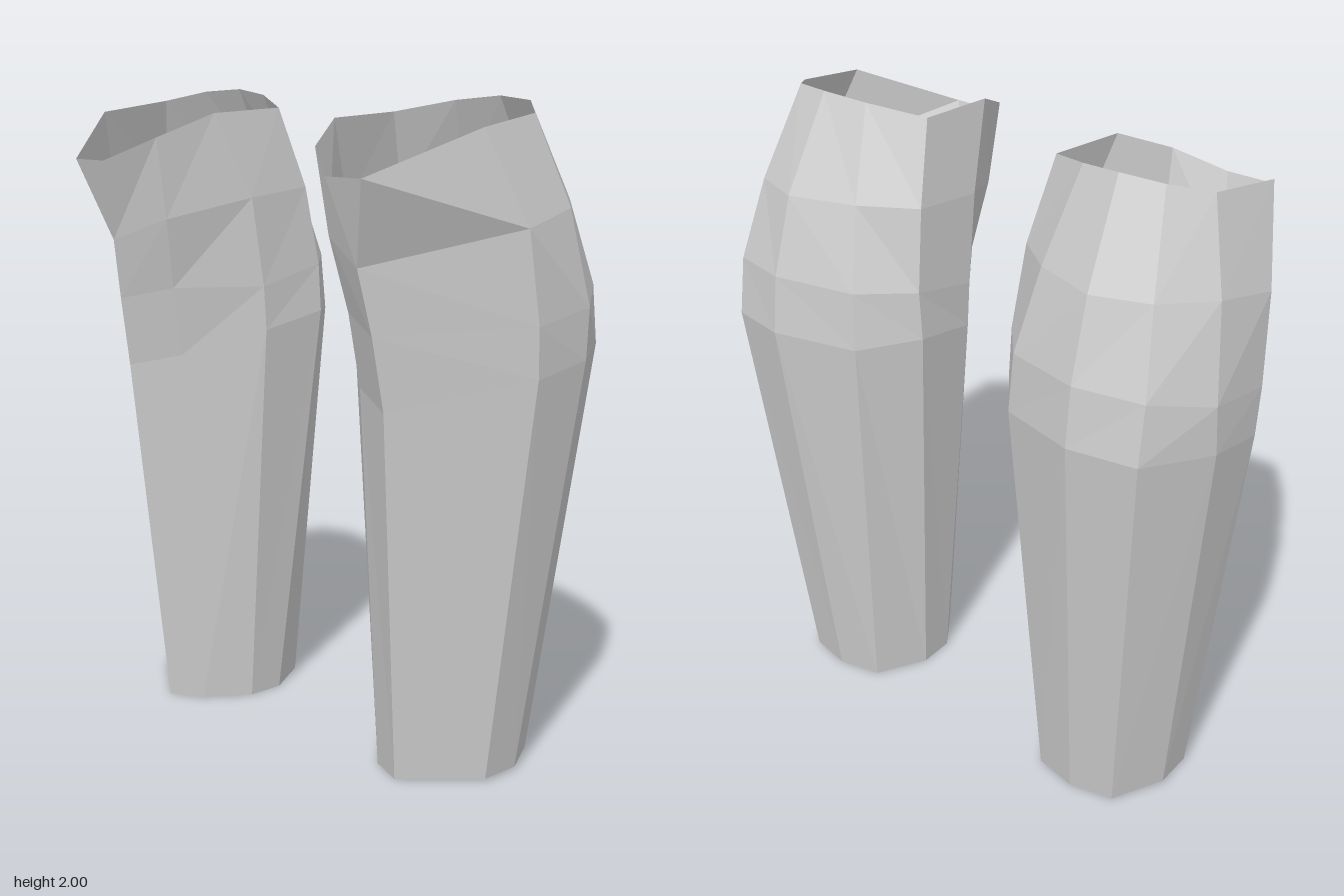
import * as THREE from 'three';

// Cross-sections [x, y, z] of the left sleeve, bottom to top.
// Each runs from the front ridge over the inner side and the back to the outer side.
const ankle = [[.5, 0, .18], [.39, 0, .13], [.29, 0, 0], [.28, 0, -.12], [.36, 0, -.28],
  [.5, 0, -.31], [.64, 0, -.28], [.72, .01, -.12], [.71, .01, .01]];
const calf = [[.54, 1.14, .29], [.38, 1.18, .21], [.19, 1.26, .02], [.17, 1.3, -.21], [.3, 1.28, -.37],
  [.565, 1.29, -.45], [.77, 1.28, -.4], [.88, 1.27, -.19], [.87, 1.24, .02]];
const upperCalf = [[.53, 1.36, .33], [.37, 1.4, .25], [.19, 1.4, .03], [.18, 1.45, -.21], [.31, 1.46, -.36],
  [.565, 1.47, -.43], [.77, 1.46, -.375], [.88, 1.42, -.2], [.875, 1.39, .03]];
const knee = [[.51, 1.55, .37], [.34, 1.62, .3], [.2, 1.68, .07], [.2, 1.7, -.17], [.35, 1.71, -.29],
  [.56, 1.71, -.36], [.73, 1.71, -.3], [.84, 1.7, -.15], [.86, 1.66, .065]];
// The rim splits the front ridge into two corners.
const rim = [[.46, 1.8, .445], [.33, 1.87, .345], [.25, 1.94, .18], [.24, 1.95, -.09], [.4, 1.985, -.18],
  [.54, 2, -.21], [.67, 1.99, -.18], [.76, 1.96, -.08], [.78, 1.93, .17], [.59, 1.8, .445]];

function sleeveGeometry(side) {
  const rings = [ankle, calf, upperCalf, knee].map(r => [...r, r[0]]);
  rings.push(rim);
  const positions = [];
  const triangle = (a, b, c) => {
    const corners = side > 0 ? [a, b, c] : [a, c, b];
    for (const [x, y, z] of corners) positions.push(side * x, y, z);
  };
  // Walls between neighbouring cross-sections
  for (let r = 0; r < rings.length - 1; r++) {
    const low = rings[r], high = rings[r + 1];
    for (let c = 0; c < low.length - 1; c++) {
      triangle(low[c], high[c], high[c + 1]);
      triangle(low[c], high[c + 1], low[c + 1]);
    }
  }
  // Notch wedge where the front ridge splits
  triangle(knee[0], rim[9], rim[0]);

  const geometry = new THREE.BufferGeometry();
  geometry.setAttribute('position', new THREE.Float32BufferAttribute(positions, 3));
  geometry.computeVertexNormals();
  return geometry;
}

export function createModel() {
  const group = new THREE.Group();
  const material = new THREE.MeshStandardMaterial({
    color: 0xcccccc, flatShading: true, side: THREE.DoubleSide,
  });
  // Mirrored pair of open sleeves
  for (const side of [1, -1]) {
    const sleeve = new THREE.Mesh(sleeveGeometry(side), material);
    sleeve.name = side > 0 ? 'leftShinGuard' : 'rightShinGuard';
    group.add(sleeve);
  }
  return group;
}
